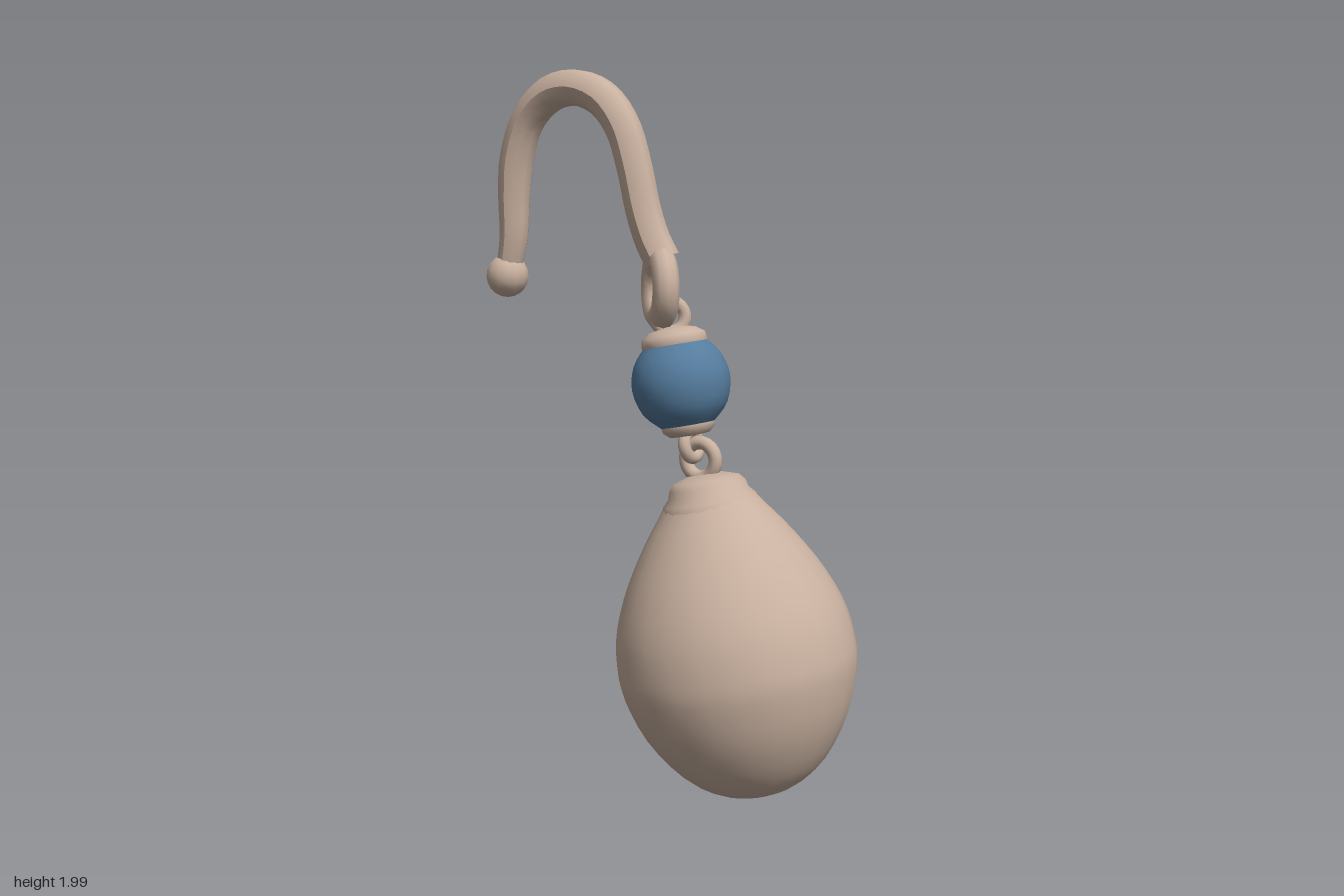
import * as THREE from 'three';

const TILT = 0.2; // lean of the hanging parts

export function createModel() {
  const model = new THREE.Group();
  model.name = 'earring';
  const metal = new THREE.MeshStandardMaterial({ name: 'beige metal', color: 0xc9b1a0 });
  const blue = new THREE.MeshStandardMaterial({ name: 'blue bead', color: 0x557c9e });

  const add = (parent, name, geometry, material = metal) => {
    const mesh = new THREE.Mesh(geometry, material);
    mesh.name = name;
    parent.add(mesh);
    return mesh;
  };
  const tilted = (name, x, y) => {
    const group = new THREE.Group();
    group.name = name;
    group.position.set(x, y, 0);
    group.rotation.z = TILT;
    model.add(group);
    return group;
  };
  // Lathe from [radius, height] pairs, listed bottom to top
  const lathe = (points, sides = 20) =>
    new THREE.LatheGeometry(points.map(([r, y]) => new THREE.Vector2(r, y)), sides);
  const smoothLathe = (points, steps, sides) => {
    const curve = new THREE.SplineCurve(points.map(([r, y]) => new THREE.Vector2(r, y)));
    return new THREE.LatheGeometry(
      curve.getPoints(steps).map((p) => p.set(Math.max(p.x, 0), p.y)), sides);
  };
  const ring = (parent, name, radius, tube, x, y, turn) => {
    const mesh = add(parent, name, new THREE.TorusGeometry(radius, tube, 10, 20));
    mesh.position.set(x, y, 0);
    mesh.rotation.y = turn;
    return mesh;
  };

  // Ear hook: bent wire, slimmer towards the tip
  const path = new THREE.CatmullRomCurve3([
    [-0.535, 1.42], [-0.512, 1.53], [-0.508, 1.65], [-0.495, 1.76], [-0.45, 1.87],
    [-0.37, 1.935], [-0.28, 1.948], [-0.19, 1.915], [-0.125, 1.84], [-0.085, 1.73],
    [-0.055, 1.61], [-0.025, 1.53], [0.01, 1.47],
  ].map(([x, y]) => new THREE.Vector3(x, y, 0)));
  const steps = 40, sides = 10;
  const wire = new THREE.TubeGeometry(path, steps, 0.051, sides, false);
  const pos = wire.attributes.position;
  const v = new THREE.Vector3();
  for (let i = 0; i < pos.count; i++) {
    const t = Math.floor(i / (sides + 1)) / steps;
    const centre = path.getPointAt(t);
    const scale = 0.74 + 0.26 * Math.min(1, t / 0.25);
    v.fromBufferAttribute(pos, i).sub(centre).multiplyScalar(scale).add(centre);
    pos.setXYZ(i, v.x, v.y, v.z);
  }
  wire.computeVertexNormals();
  add(model, 'earHook', wire);
  add(model, 'hookTip', new THREE.SphereGeometry(0.063, 14, 10)).position.set(-0.537, 1.418, 0);
  ring(model, 'hookRing', 0.082, 0.037, 0, 1.4, -Math.PI / 4);

  // Bead with metal caps and its two eyelets
  const bead = tilted('beadAssembly', 0.07, 1.14);
  add(bead, 'bead', smoothLathe(
    [[0.075, -0.115], [0.118, -0.07], [0.137, 0], [0.122, 0.065], [0.085, 0.112]], 12, 20), blue);
  add(bead, 'upperCap', lathe(
    [[0.085, 0.095], [0.092, 0.112], [0.088, 0.132], [0.065, 0.148], [0.035, 0.155], [0, 0.157]]));
  add(bead, 'lowerCap', lathe(
    [[0, -0.148], [0.055, -0.144], [0.072, -0.13], [0.075, -0.112], [0.068, -0.1]]));
  ring(bead, 'upperEyelet', 0.042, 0.018, 0, 0.185, Math.PI / 4);
  ring(bead, 'lowerEyelet', 0.036, 0.018, 0, -0.172, Math.PI / 2);

  // Egg-shaped drop with its cap and eyelet
  const drop = tilted('dropAssembly', 0.25, 0.4);
  const body = add(drop, 'drop', smoothLathe([
    [0, -0.4], [0.1, -0.377], [0.19, -0.315], [0.27, -0.2], [0.313, -0.08], [0.32, 0],
    [0.307, 0.1], [0.265, 0.21], [0.205, 0.315], [0.145, 0.4], [0.1, 0.45], [0, 0.47],
  ], 32, 24));
  body.scale.x = 1.05;
  add(drop, 'dropCap', lathe([
    [0.135, 0.415], [0.13, 0.432], [0.112, 0.452], [0.107, 0.472], [0.092, 0.49], [0.05, 0.503], [0, 0.506],
  ]));
  ring(drop, 'dropEyelet', 0.048, 0.019, -0.008, 0.545, 0);

  return model;
}
